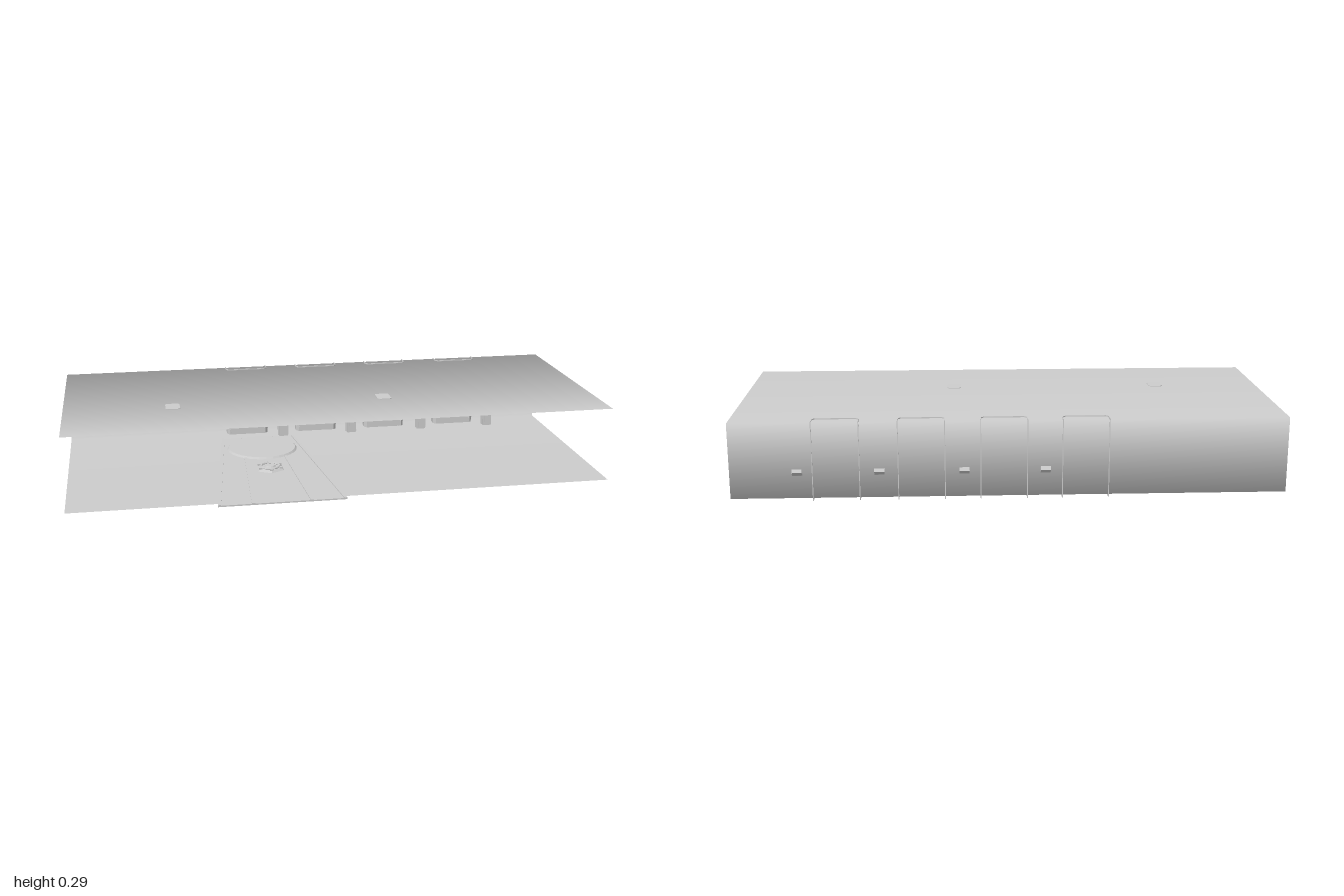
import * as THREE from 'three';

const grey = new THREE.MeshStandardMaterial({ color: 0xcccccc, side: THREE.DoubleSide });
const flat = new THREE.MeshStandardMaterial({ color: 0xcccccc, side: THREE.DoubleSide, flatShading: true });

function add(parent, name, geo, x = 0, y = 0, z = 0, mat = flat) {
  const m = new THREE.Mesh(geo, mat);
  m.name = name;
  m.position.set(x, y, z);
  parent.add(m);
  return m;
}
const box = (w, h, d) => new THREE.BoxGeometry(w, h, d);

function shapeOf(points) {
  return new THREE.Shape(points.map(p => new THREE.Vector2(p[0], p[1])));
}
// Side profile given as (z, y), thickened along x
function sideProfile(points, width) {
  const g = new THREE.ExtrudeGeometry(shapeOf(points), { depth: width, bevelEnabled: false });
  return g.translate(0, 0, -width / 2).rotateY(-Math.PI / 2);
}
// Floor plan given as (x, z), raised along y
function plan(points, height) {
  const g = new THREE.ExtrudeGeometry(shapeOf(points.map(p => [p[0], -p[1]])), { depth: height, bevelEnabled: false });
  return g.rotateX(-Math.PI / 2);
}
// Bar between two points
function bar(parent, name, a, b, t) {
  const va = new THREE.Vector3(...a), vb = new THREE.Vector3(...b);
  const m = add(parent, name, box(t, t, va.distanceTo(vb)));
  m.position.copy(va).add(vb).multiplyScalar(0.5);
  m.lookAt(vb);
  return m;
}

// Ceiling, wall and floor as one bent sheet, shaded smoothly over its corners
function shell() {
  const rows = [
    [0.288, 0.418, 1, 0], [0.288, -0.428, 0.6, -0.8],
    [0.01, -0.428, -0.6, -0.8], [0.01, 0.418, -1, 0],
  ];
  const pos = [], nor = [], idx = [];
  rows.forEach(([y, z, ny, nz], i) => {
    for (const x of [-1, 1]) {
      pos.push(x, y, z);
      nor.push(0, ny, nz);
    }
    if (i < 3) {
      const k = i * 2;
      idx.push(k, k + 1, k + 3, k, k + 3, k + 2);
    }
  });
  const g = new THREE.BufferGeometry();
  g.setAttribute('position', new THREE.Float32BufferAttribute(pos, 3));
  g.setAttribute('normal', new THREE.Float32BufferAttribute(nor, 3));
  g.setIndex(idx);
  return g;
}

// Hollow wall panel with chamfered front corners, rivets and vents
function wallPanel() {
  const p = new THREE.Group();
  p.name = 'wallPanel';
  const w = 0.085, t = 0.003, back = -0.431, front = -0.381;
  const outer = [[-w, back], [-w, front - 0.012], [-w + 0.01, front], [w - 0.01, front], [w, front - 0.012], [w, back]];
  const inner = [[w - t, back], [w - t, front - 0.013], [w - 0.012, front - t],
    [-w + 0.012, front - t], [-w + t, front - 0.013], [-w + t, back]];
  add(p, 'panelShell', plan([...outer, ...inner], 0.292));
  add(p, 'panelSeam', box(0.15, 0.002, 0.002), 0, 0.165, front);
  for (const s of [-1, 1]) {
    add(p, 'edgeTrim', box(0.004, 0.28, 0.003), s * 0.066, 0.146, front);
    for (let i = 0; i < 6; i++) {
      const rivet = new THREE.CylinderGeometry(0.0025, 0.0025, 0.003, 6);
      add(p, 'frontRivet', rivet.clone().rotateX(Math.PI / 2), s * 0.072, 0.03 + i * 0.046, front + 0.001);
      add(p, 'sideRivet', rivet.rotateZ(Math.PI / 2), s * (w + 0.001), 0.03 + i * 0.046, -0.396);
    }
    for (let i = 0; i < 4; i++) add(p, 'vent', box(0.02, 0.004, 0.002), s * 0.028, 0.19 + i * 0.016, front);
  }
  return p;
}

// Angled floor bracket with pivot discs
function bracket() {
  const b = new THREE.Group();
  b.name = 'wallBracket';
  const body = [[-0.326, 0.066], [-0.338, 0.072], [-0.352, 0.105], [-0.372, 0.124], [-0.388, 0.128], [-0.405, 0.119],
    [-0.428, 0.114], [-0.44, 0.121], [-0.447, 0.109], [-0.43, 0.096], [-0.418, 0.08], [-0.41, 0.062],
    [-0.396, 0.042], [-0.38, 0.056], [-0.364, 0.04], [-0.358, 0], [-0.326, 0.005]];
  add(b, 'bracketBody', sideProfile(body, 0.036));
  add(b, 'frontPlate', box(0.022, 0.045, 0.006), 0, 0.037, -0.325);
  add(b, 'upperBlock', box(0.026, 0.025, 0.014), 0, 0.102, -0.352).rotation.x = -0.45;
  add(b, 'largePivot', new THREE.CylinderGeometry(0.018, 0.018, 0.05, 16).rotateZ(Math.PI / 2), 0, 0.103, -0.386);
  add(b, 'pivotCap', new THREE.CylinderGeometry(0.011, 0.011, 0.054, 16).rotateZ(Math.PI / 2), 0, 0.103, -0.386);
  add(b, 'smallPivot', new THREE.CylinderGeometry(0.01, 0.01, 0.046, 12).rotateZ(Math.PI / 2), 0, 0.07, -0.37);
  add(b, 'legSlot', box(0.044, 0.052, 0.012), 0, 0.038, -0.343).rotation.x = -0.08;
  return b;
}

// Rectangular duct: a cross-section swept along its bent path
function duct() {
  const path = [[-0.375, 0.29], [-0.373, 0.268], [-0.362, 0.25], [-0.345, 0.241], [-0.32, 0.238]];
  const full = [...path, ...path.slice().reverse().map(([x, y]) => [-x, y])];
  const hz = 0.035, ht = 0.025, c = 0.007;
  const section = [[-hz, -ht + c], [-hz + c, -ht], [hz - c, -ht], [hz, -ht + c],
    [hz, ht - c], [hz - c, ht], [-hz + c, ht], [-hz, ht - c]];
  const pos = [], idx = [], n = section.length;
  full.forEach(([x, y], i) => {
    const a = full[Math.max(i - 1, 0)], b = full[Math.min(i + 1, full.length - 1)];
    const dir = new THREE.Vector2(b[0] - a[0], b[1] - a[1]).normalize();
    if (i === 0 || i === full.length - 1) dir.set(0, i ? 1 : -1);
    section.forEach(([z, o], k) => {
      pos.push((x - dir.y * o) * 1.065, y + dir.x * o, z);
      if (i < full.length - 1) {
        const p = i * n + k, q = i * n + (k + 1) % n;
        idx.push(p, q, q + n, p, q + n, p + n);
      }
    });
  });
  const last = (full.length - 1) * n;
  for (let k = 1; k < n - 1; k++) idx.push(0, k + 1, k, last, last + k, last + k + 1);
  const g = new THREE.BufferGeometry();
  g.setAttribute('position', new THREE.Float32BufferAttribute(pos, 3));
  g.setIndex(idx);
  g.computeVertexNormals();
  return g;
}

// Duct with its lattice cage
function ductAssembly() {
  const d = new THREE.Group();
  d.name = 'ceilingDuct';
  add(d, 'duct', duct(), 0, 0, 0);
  const ring = [[-0.045, 0.226], [-0.033, 0.214], [0.033, 0.214], [0.045, 0.226],
    [0.045, 0.254], [0.033, 0.266], [-0.033, 0.266], [-0.045, 0.254]];
  const bays = 8, half = 0.335, step = (half * 2) / bays;
  for (let i = 0; i <= bays; i++) add(d, 'cageRing', sideProfile(ring, i % bays ? 0.007 : 0.018), -half + i * step, 0, 0);
  for (const s of [-1, 1]) {
    for (const [z, y] of [[0.044, 0.226], [0.044, 0.254], [0.033, 0.215], [0.033, 0.265]]) {
      add(d, 'cageRail', box(half * 2, 0.005, 0.005), 0, y, s * z);
    }
    add(d, 'cageFoot', box(0.05, 0.006, 0.03), s * 0.29, 0.211, 0);
    for (let i = 0; i < bays; i++) {
      const x0 = -half + i * step, x1 = x0 + step;
      bar(d, 'sideBrace', [x0, 0.224, s * 0.043], [x1, 0.256, s * 0.043], 0.004);
      bar(d, 'sideBrace', [x0, 0.256, s * 0.043], [x1, 0.224, s * 0.043], 0.004);
      bar(d, 'flatBrace', [x0, s > 0 ? 0.264 : 0.216, -0.033], [x1, s > 0 ? 0.264 : 0.216, 0.033], 0.004);
    }
  }
  d.position.set(-0.2, 0, 0.112);
  return d;
}

// Tapered floor walkway with raised rails, hatch and rear plate
function walkway() {
  const f = new THREE.Group();
  f.name = 'floorWalkway';
  const z0 = 0.445, z1 = -0.315;
  const strip = (a0, b0, a1, b1) => [[a0, z0], [b0, z0], [b1, z1], [a1, z1]];
  add(f, 'walkwayPlate', plan(strip(-0.233, 0.233, -0.15, 0.15), 0.005), 0, 0.008, 0);
  for (const s of [-1, 1]) {
    add(f, 'outerRail', plan(strip(s * 0.222, s * 0.233, s * 0.139, s * 0.15), 0.003), 0, 0.0125, 0);
    add(f, 'innerRail', plan(strip(s * 0.1, s * 0.112, s * 0.06, s * 0.07), 0.003), 0, 0.0125, 0);
  }
  add(f, 'rearPlate', new THREE.CylinderGeometry(0.134, 0.14, 0.007, 32), 0, 0.0165, -0.17);
  add(f, 'hatchBase', new THREE.CylinderGeometry(0.047, 0.057, 0.009, 6), 0, 0.019, 0.085);
  add(f, 'hatchRing', new THREE.TorusGeometry(0.036, 0.005, 6, 12).rotateX(Math.PI / 2), 0, 0.025, 0.085);
  add(f, 'hatchCap', new THREE.CylinderGeometry(0.018, 0.022, 0.006, 12), 0, 0.026, 0.085);
  for (let i = 0; i < 6; i++) {
    const a = (i * Math.PI) / 3;
    add(f, 'hatchLug', box(0.012, 0.007, 0.012), Math.sin(a) * 0.046, 0.025, 0.085 + Math.cos(a) * 0.046);
  }
  f.position.x = -0.235;
  return f;
}

export function createModel() {
  const model = new THREE.Group();
  model.name = 'corridorSection';
  add(model, 'corridorShell', shell(), 0, 0, 0, grey);
  for (const x of [-0.27, 0.023, 0.318, 0.623]) {
    const p = wallPanel();
    p.position.x = x;
    model.add(p);
  }
  for (const x of [-0.125, 0.165, 0.468, 0.76]) {
    const b = bracket();
    b.position.x = x;
    model.add(b);
  }
  model.add(ductAssembly(), walkway());
  return model;
}
